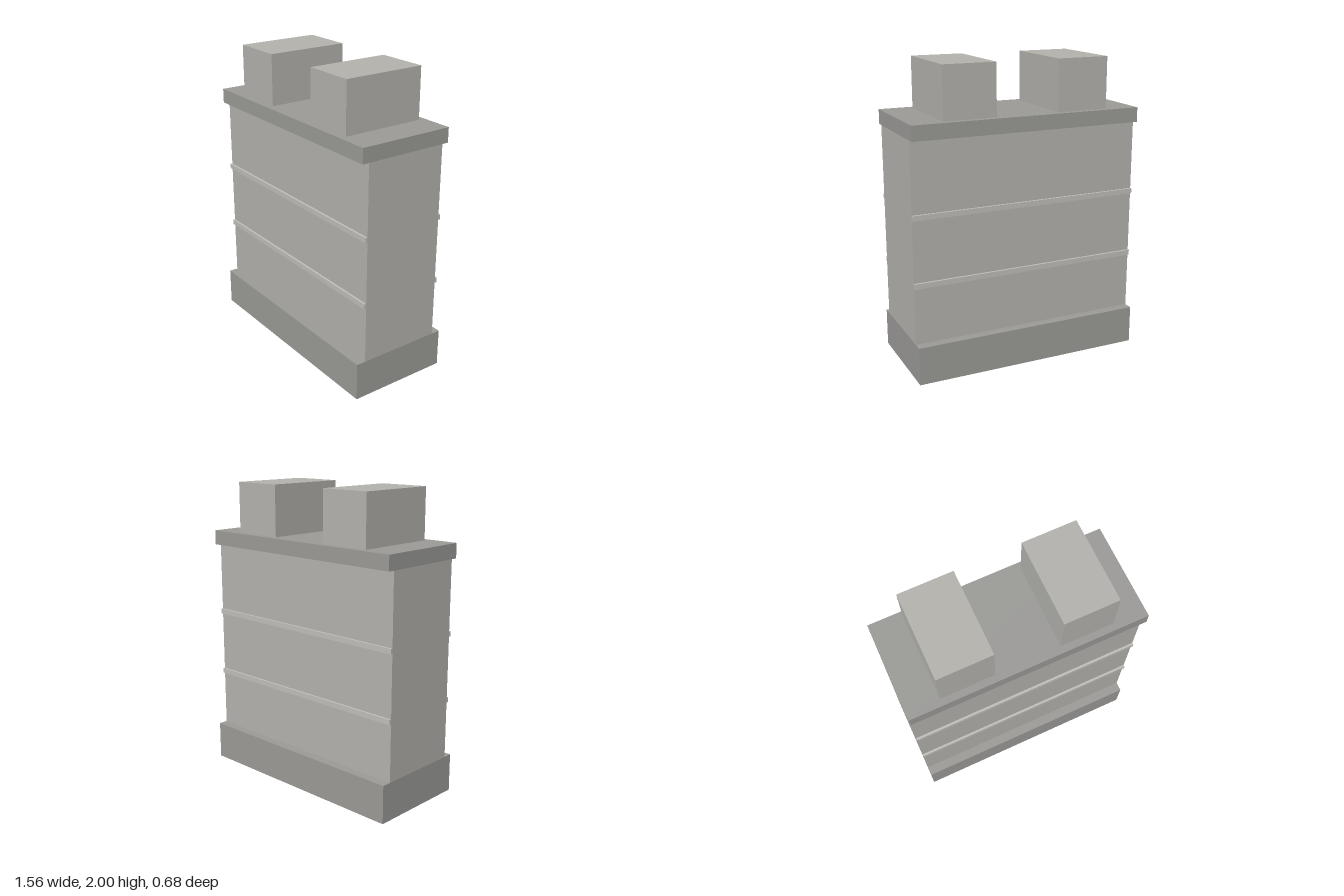
import * as THREE from 'three';

const WIDTH = 1.56;
const wall = new THREE.MeshStandardMaterial({ color: 0xb4b3ae });
const trim = new THREE.MeshStandardMaterial({ color: 0x9c9b98 });
const band = new THREE.MeshStandardMaterial({ color: 0xc0bfba });

// Box spanning y0..y1, centred on x and on z = 0
function block(name, material, width, depth, y0, y1, x = 0) {
  const mesh = new THREE.Mesh(new THREE.BoxGeometry(width, y1 - y0, depth), material);
  mesh.name = name;
  mesh.position.set(x, (y0 + y1) / 2, 0);
  return mesh;
}

export function createModel() {
  const group = new THREE.Group();
  group.name = 'chimneyStack';

  // Plinth, wall and overhanging cap, flush at the ends
  group.add(block('plinth', trim, WIDTH, 0.684, 0, 0.253));
  group.add(block('wall', wall, WIDTH, 0.56, 0.253, 1.565));
  group.add(block('cap', trim, WIDTH, 0.65, 1.565, 1.662));

  // Thin string courses along the front and back
  for (const y of [0.63, 1.07]) {
    for (const side of [1, -1]) {
      const course = block('stringCourse', band, WIDTH, 0.015, y, y + 0.034);
      course.position.z = side * 0.2875;
      group.add(course);
    }
  }

  // Pair of square stacks on the cap
  for (const side of [1, -1]) {
    group.add(block(side > 0 ? 'leftStack' : 'rightStack', wall, 0.352, 0.56, 1.662, 2, side * 0.389));
  }
  return group;
}
